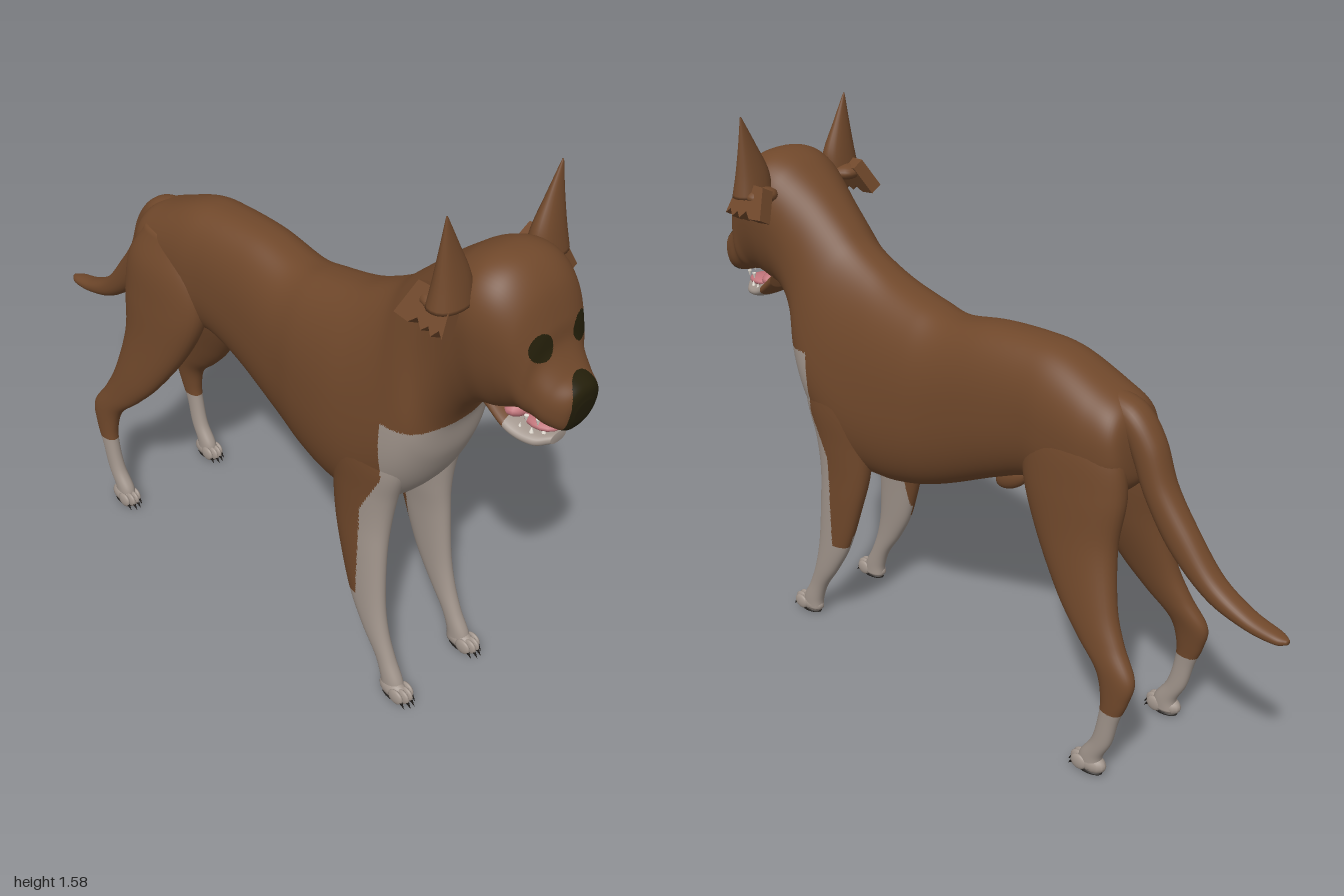
import * as THREE from 'three';

const mat = (name, color) => {
  const m = new THREE.MeshStandardMaterial({ color });
  m.name = name;
  return m;
};

// Smooth skin through rings. Each ring: [zA, yA, zB, yB, halfWidth, xCentre, taper],
// A and B being opposite points of the ring; taper narrows it towards A.
// pick(x, y, z) gives the material index; faces on a colour border are subdivided.
function loft(name, rings, materials, { across = 32, along = 60, power = 0.9, pick = () => 0 } = {}) {
  const curve = f => new THREE.CatmullRomCurve3(rings.map(f), false, 'catmullrom', 0.5);
  const a = curve(r => new THREE.Vector3(r[5], r[1], r[0]));
  const b = curve(r => new THREE.Vector3(r[5], r[3], r[2]));
  const w = curve(r => new THREE.Vector3(r[4], r[6] || 0, 0));
  const pos = [], index = [];
  const soft = v => Math.sign(v) * Math.abs(v) ** power;
  for (let i = 0; i <= along; i++) {
    const t = i / along, A = a.getPoint(t), B = b.getPoint(t), W = w.getPoint(t);
    const c = A.clone().add(B).multiplyScalar(0.5), v = A.sub(c);
    for (let j = 0; j < across; j++) {
      const q = (j / across) * Math.PI * 2, cs = soft(Math.cos(q)), sn = soft(Math.sin(q));
      pos.push(c.x + W.x * cs * (1 - W.y * sn), c.y + v.y * sn, c.z + v.z * sn);
    }
  }
  // end cap centres
  for (const t of [0, 1]) {
    const c = a.getPoint(t).add(b.getPoint(t)).multiplyScalar(0.5);
    pos.push(c.x, c.y, c.z);
  }
  const end = (along + 1) * across;
  for (let j = 0; j < across; j++) {
    const k = (j + 1) % across, top = along * across;
    for (let i = 0; i < along; i++) {
      const p = i * across, n = p + across;
      index.push(p + j, p + k, n + j, p + k, n + k, n + j);
    }
    index.push(end, k, j, end + 1, top + j, top + k);
  }
  const g = new THREE.BufferGeometry();
  g.setAttribute('position', new THREE.Float32BufferAttribute(pos, 3));
  g.setIndex(index);
  g.computeVertexNormals();
  const nor = Array.from(g.attributes.normal.array);

  // sort faces by colour, splitting those that straddle a border
  const lists = materials.map(() => []);
  const at = i => pick(pos[i * 3], pos[i * 3 + 1], pos[i * 3 + 2]);
  const middle = (p, q) => {
    for (const arr of [pos, nor]) for (let k = 0; k < 3; k++) arr.push((arr[p * 3 + k] + arr[q * 3 + k]) / 2);
    return pos.length / 3 - 1;
  };
  const sort = (p, q, r, depth) => {
    const m = at(p);
    if (m === at(q) && m === at(r)) return lists[m].push(p, q, r);
    const pq = middle(p, q), qr = middle(q, r), rp = middle(r, p);
    if (!depth) return lists[at(qr)].push(p, q, r);
    for (const f of [[p, pq, rp], [pq, q, qr], [rp, qr, r], [pq, qr, rp]]) sort(...f, depth - 1);
  };
  for (let i = 0; i < index.length; i += 3) sort(index[i], index[i + 1], index[i + 2], 2);
  g.setAttribute('position', new THREE.Float32BufferAttribute(pos, 3));
  g.setAttribute('normal', new THREE.Float32BufferAttribute(nor, 3));
  g.setIndex(lists.flat());
  let start = 0;
  lists.forEach((l, i) => { g.addGroup(start, l.length, i); start += l.length; });
  const mesh = new THREE.Mesh(g, materials);
  mesh.name = name;
  return mesh;
}

function blob(name, material, [x, y, z], [sx, sy, sz], tilt = 0) {
  const m = new THREE.Mesh(new THREE.SphereGeometry(1, 16, 12), material);
  m.position.set(x, y, z);
  m.scale.set(sx, sy, sz);
  m.rotation.x = tilt;
  m.name = name;
  return m;
}

function spike(name, material, [x, y, z], r, h, tilt) {
  const m = new THREE.Mesh(new THREE.ConeGeometry(r, h, 8), material);
  m.position.set(x, y, z);
  m.rotation.x = tilt;
  m.name = name;
  return m;
}

// Rear limit of the pale chest and foreleg patch at height y
const bibEdge = y => .49 + THREE.MathUtils.clamp((y - .6) * .5, 0, .065);

export function createModel() {
  const model = new THREE.Group();
  model.name = 'dog';
  const brown = mat('brownCoat', 0x70482b);
  const pale = mat('paleCoat', 0xa1958c);
  const dark = mat('darkNoseAndEyes', 0x241f0a);
  const pink = mat('pinkMouth', 0xc0747a);
  const ivory = mat('ivoryTeeth', 0xe6e0d6);
  const claw = mat('blackClaws', 0x1d1916);

  // Torso, neck and head in one skin, from rump to nose
  model.add(loft('bodyAndHead', [
    [-.53, .98, -.535, .9, .03, .02],
    [-.5, 1.04, -.525, .82, .10, .02],
    [-.42, 1.08, -.44, .76, .125, .02],
    [-.3, 1.128, -.3, .73, .13, .018],
    [-.2, 1.14, -.2, .735, .125, .018],
    [-.05, 1.135, -.08, .69, .127, .02],
    [.1, 1.11, .1, .605, .137, .015],
    [.2, 1.125, .22, .56, .152, .01, .04],
    [.32, 1.155, .34, .54, .163, .006, .1],
    [.4, 1.19, .47, .56, .167, .005, .17],
    [.47, 1.23, .59, .67, .166, .005, .21],
    [.52, 1.275, .655, .80, .158, .003, .18],
    [.6, 1.35, .675, .91, .144, .002, .06],
    [.66, 1.4, .71, .98, .142, .002, -.08],
    [.71, 1.435, .76, 1.025, .146, .003, -.17],
    [.77, 1.453, .81, 1.04, .148, .004, -.22],
    [.83, 1.44, .845, 1.055, .14, .008, -.2],
    [.88, 1.39, .87, 1.065, .126, .014, -.12],
    [.912, 1.31, .89, 1.065, .11, .02],
    [.925, 1.25, .91, 1.06, .095, .022],
    [.96, 1.195, .94, 1.05, .083, .025],
    [.995, 1.165, .975, 1.045, .06, .03],
    [1, 1.13, .99, 1.07, .03, .032],
  ], [brown, pale, dark], {
    across: 80, along: 190, power: 0.85,
    pick: (x, y, z) => {
      if (z > .85 && y > 1.2 && Math.hypot(Math.abs(x - .025) - .07, y - 1.265) < .034) return 2;
      const nose = y < 1.135 ? Math.abs(x - .034) : Math.hypot(x - .034, (y - 1.135) * .85);
      if (z > .955 && y > 1.045 && nose < .05) return 2;
      return y < .92 && z > bibEdge(y) ? 1 : 0;
    },
  }));

  // Lower jaw, tongue and teeth
  model.add(loft('lowerJaw', [
    [.78, 1.1, .79, 1.03, .08, .015],
    [.85, 1.035, .85, .99, .075, .018],
    [.91, 1.018, .91, .978, .06, .02],
    [.945, 1.018, .945, .99, .028, .02],
  ], [brown, pale], { pick: (x, y, z) => (z > .84 ? 1 : 0) }));
  model.add(blob('tongue', pink, [.025, 1.026, .895], [.042, .016, .05]));
  model.add(blob('mouthLining', pink, [.02, 1.045, .835], [.06, .025, .035]));
  for (let i = 0; i < 7; i++) {
    const a = (i / 6 - .5) * Math.PI, x = .022 + Math.sin(a) * .052, z = .87 + Math.cos(a) * .058;
    model.add(spike('upperTooth', ivory, [x, 1.049, z + .015], .006, .02, Math.PI));
    model.add(spike('lowerTooth', ivory, [x, 1.022, z], .006, .016, 0));
  }

  // Tail
  model.add(loft('tail', [
    [-.42, .98, -.42, 1.07, .045, .025],
    [-.5, .95, -.525, 1.043, .05, .025],
    [-.525, .9, -.595, .965, .048, .026],
    [-.568, .805, -.643, .85, .045, .028],
    [-.65, .685, -.718, .745, .042, .03],
    [-.77, .587, -.795, .65, .038, .03],
    [-.885, .548, -.888, .593, .032, .03],
    [-.97, .54, -.97, .57, .024, .03],
    [-1, .548, -1, .56, .008, .03],
  ], [brown], { along: 60 }));

  model.add(blob('bellyTuft', brown, [.02, .69, -.105], [.024, .032, .065], .55));

  for (const s of [1, -1]) {
    const side = s > 0 ? 'left' : 'right';
    const place = (rings, off) => rings.map(r => [...r.slice(0, 5), off + s * r[5]]);

    // Front leg: pale front, inside and lower half
    model.add(loft(side + 'FrontLeg', place([
      [.56, .98, .42, .98, .02, .11],
      [.60, .88, .36, .88, .045, .115],
      [.60, .76, .35, .76, .056, .115],
      [.57, .65, .36, .65, .053, .113],
      [.557, .55, .37, .55, .045, .117],
      [.557, .45, .395, .45, .037, .125],
      [.568, .3, .445, .3, .03, .132],
      [.588, .2, .5, .2, .026, .135],
      [.618, .12, .555, .12, .023, .135],
      [.65, .06, .58, .06, .024, .136],
      [.66, .02, .585, .02, .024, .136],
    ], .006), [brown, pale], {
      across: 36, along: 70,
      pick: (x, y, z) => {
        const inside = y < .58 && (x - .006) * s < .117 + (.55 - y) * .06 && z > .43;
        return y < .3 || inside || (y < .92 && z > bibEdge(y)) ? 1 : 0;
      },
    }));

    // Hind leg: pale below the hock
    model.add(loft(side + 'HindLeg', place([
      [-.29, 1.02, -.46, 1.02, .025, .075],
      [-.23, .92, -.52, .92, .055, .085],
      [-.215, .8, -.54, .8, .067, .088],
      [-.272, .66, -.53, .66, .06, .105],
      [-.372, .51, -.56, .51, .046, .135],
      [-.452, .42, -.60, .42, .037, .152],
      [-.53, .345, -.65, .34, .03, .166],
      [-.555, .27, -.638, .27, .025, .172],
      [-.552, .2, -.612, .2, .022, .174],
      [-.532, .12, -.592, .12, .022, .173],
      [-.495, .06, -.563, .06, .024, .172],
      [-.49, .02, -.565, .02, .024, .172],
    ], .006), [brown, pale], { across: 36, along: 80, pick: (x, y) => (y < .23 ? 1 : 0) }));

    // Paws with four toes, claws and pad
    for (const [end, x, z] of [['Front', .138, .62], ['Hind', .174, -.538]]) {
      const paw = new THREE.Group();
      paw.name = side + end + 'Paw';
      paw.position.set(.004 + s * x, 0, z);
      paw.add(blob('foot', pale, [0, .031, .008], [.026, .029, .047]));
      paw.add(blob('pad', claw, [0, .008, .015], [.023, .008, .044]));
      for (let i = 0; i < 4; i++) {
        const dx = (i - 1.5) * .0145, dz = i % 3 ? .047 : .036;
        paw.add(blob('toe', pale, [dx, .03, dz], [.0092, .023, .026]));
        paw.add(spike('claw', claw, [dx, .02, dz + .023], .008, .036, 2.4));
      }
      model.add(paw);
    }

    // Pointed ear
    model.add(loft(side + 'Ear', place([
      [.70, 1.355, .785, 1.355, .063, .168],
      [.71, 1.42, .772, 1.42, .053, .166],
      [.724, 1.5, .755, 1.5, .028, .179],
      [.737, 1.58, .741, 1.58, .002, .194],
    ], .004), [brown], { across: 20, along: 24 }));

    // Drooping ragged flap at the ear root
    model.add(blob(side + 'EarLobe', brown, [.003 + s * .165, 1.358, .71], [.05, .024, .042]));
    const edge = [[.07, -.085], [.055, -.07], [.04, -.09], [.025, -.072], [.01, -.088],
      [-.01, -.066], [-.03, -.085], [-.075, -.08], [-.045, .01], [.055, .01]];
    const shape = new THREE.Shape(edge.map(([u, v]) => new THREE.Vector2(u, v)));
    const plate = new THREE.ExtrudeGeometry(shape, { depth: .04, bevelEnabled: false });
    plate.translate(0, 0, -.02).rotateY(-Math.PI / 2).rotateZ(s * .5);
    const flap = new THREE.Mesh(plate, brown);
    flap.position.set(.003 + s * .178, 1.375, .715);
    flap.name = side + 'EarFlap';
    model.add(flap);
  }
  return model;
}
